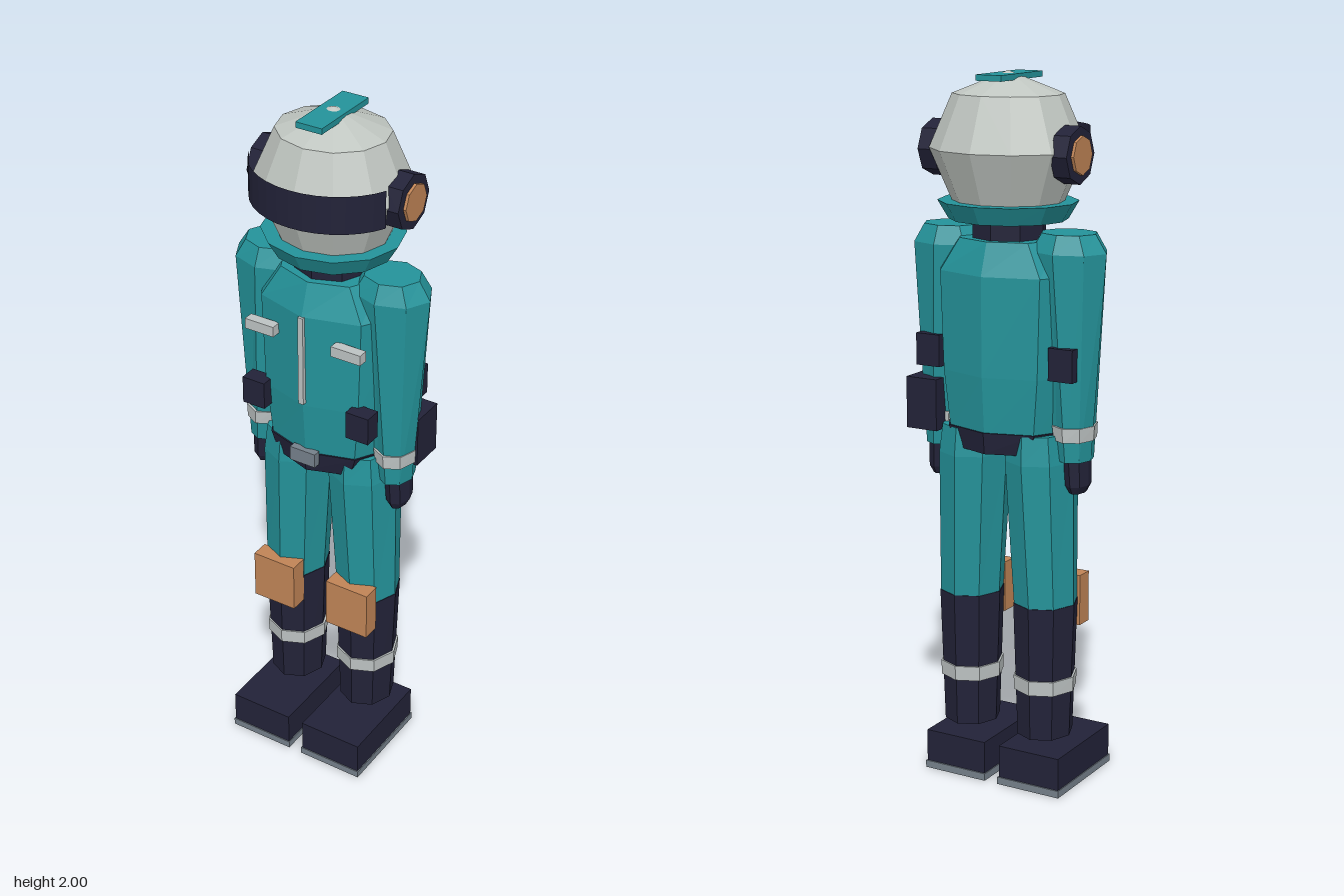
import * as THREE from 'three';

const paint = (name, hex) => {
  const m = new THREE.MeshStandardMaterial({ color: hex });
  m.name = name;
  return m;
};

// Faceted body from elliptical rings, listed bottom to top as [y, centreX, rx, rz]
function loft(rings, sides = 8, cz = 0) {
  const pos = [], idx = [], n = rings.length;
  for (const [y, cx, rx, rz] of rings)
    for (let i = 0; i < sides; i++) {
      const a = (i / sides) * Math.PI * 2;
      pos.push(cx + rx * Math.sin(a), y, cz + rz * Math.cos(a));
    }
  pos.push(rings[0][1], rings[0][0], cz, rings[n - 1][1], rings[n - 1][0], cz);
  const bottom = n * sides, top = bottom + 1;
  for (let i = 0; i < sides; i++) {
    const j = (i + 1) % sides, last = (n - 1) * sides;
    for (let r = 0; r < n - 1; r++) {
      const b = r * sides, t = b + sides;
      idx.push(b + i, b + j, t + j, b + i, t + j, t + i);
    }
    idx.push(bottom, j, i, top, last + i, last + j);
  }
  const g = new THREE.BufferGeometry();
  g.setAttribute('position', new THREE.Float32BufferAttribute(pos, 3));
  g.setIndex(idx);
  return faceted(g);
}

function faceted(g) {
  const f = g.toNonIndexed();
  f.computeVertexNormals();
  return f;
}

// Box given by its limits on each axis
function box(x0, x1, y0, y1, z0, z1) {
  return new THREE.BoxGeometry(x1 - x0, y1 - y0, z1 - z0)
    .translate((x0 + x1) / 2, (y0 + y1) / 2, (z0 + z1) / 2);
}

export function createModel() {
  const teal = paint('teal suit', 0x24939a);
  const navy = paint('dark navy', 0x222238);
  const shell = paint('helmet grey', 0xc0c6c1);
  const silver = paint('reflective silver', 0xbcc2c2);
  const copper = paint('copper', 0xc08456);
  const steel = paint('steel grey', 0x75808a);
  const visorMat = paint('visor navy', 0x222238);
  visorMat.side = THREE.DoubleSide;

  const model = new THREE.Group();
  model.name = 'suitedFigure';
  const add = (name, geometry, material, parent = model) => {
    const m = new THREE.Mesh(geometry, material);
    m.name = name;
    parent.add(m);
    return m;
  };

  // Torso, belt and neck
  add('torso', loft([
    [1.02, 0, 0.185, 0.135], [1.19, 0, 0.208, 0.147],
    [1.465, 0, 0.22, 0.15], [1.555, 0, 0.15, 0.12],
  ]), teal);
  add('belt', loft([[0.975, 0, 0.165, 0.135], [1.035, 0, 0.192, 0.141]]), navy);
  add('buckle', box(-0.04, 0.04, 1.005, 1.047, 0.13, 0.152), steel);
  add('zipper', box(-0.008, 0.008, 1.2, 1.465, 0.14, 0.157), silver);
  add('neck', loft([[1.54, 0, 0.105, 0.1], [1.63, 0, 0.105, 0.1]]), navy);
  add('collar', loft([[1.605, 0, 0.165, 0.155], [1.655, 0, 0.195, 0.183]], 12, -0.005), teal);

  // Helmet
  const helmet = faceted(new THREE.SphereGeometry(1, 12, 4).scale(0.218, 0.205, 0.2));
  add('helmet', helmet.translate(0, 1.795, -0.005), shell);
  add('crest', box(-0.039, 0.039, 1.977, 1.993, -0.11, 0.11), teal);
  const visor = new THREE.CylinderGeometry(1, 1, 0.105, 14, 1, true, -1.19, 2.38);
  visor.scale(0.222, 1, 0.203).translate(0, 1.802, 0);
  add('visor', faceted(visor), visorMat);

  // Paired parts, s = 1 on the model's left
  for (const s of [1, -1]) {
    const side = new THREE.Group();
    side.name = s > 0 ? 'leftSide' : 'rightSide';
    model.add(side);
    const put = (name, geometry, material) => add(name, geometry, material, side);
    const slab = (x0, x1, ...rest) => s > 0 ? box(x0, x1, ...rest) : box(-x1, -x0, ...rest);
    const limb = (rings, cz = 0) => loft(rings.map(([y, x, rx, rz]) => [y, s * x, rx, rz]), 8, cz);
    const disc = (r, x0, x1) => faceted(new THREE.CylinderGeometry(r, r, x1 - x0, 8))
      .rotateZ(Math.PI / 2).translate(s * (x0 + x1) / 2, 1.788, -0.022);

    // Earpiece
    put('earCup', disc(0.077, 0.18, 0.229), navy);
    put('earDisc', disc(0.052, 0.21, 0.237), copper);

    // Arm
    put('arm', limb([
      [0.96, 0.21, 0.047, 0.062], [1.53, 0.185, 0.113, 0.092], [1.58, 0.185, 0.08, 0.07],
    ]), teal);
    put('cuffBand', limb([[1.018, 0.209, 0.056, 0.072], [1.058, 0.207, 0.06, 0.074]]), silver);
    put('glove', limb([
      [0.868, 0.219, 0.02, 0.036], [0.89, 0.219, 0.032, 0.048], [0.965, 0.216, 0.034, 0.052],
    ]), navy);
    put('elbowPad', slab(0.172, 0.246, 1.19, 1.28, -0.09, -0.062), navy);

    // Chest details
    put('chestStripe', slab(0.09, 0.18, 1.375, 1.405, 0.12, 0.15), silver);
    put('frontPouch', slab(0.13, 0.2, 1.13, 1.21, 0.09, 0.14), navy);

    // Leg and boot
    put('leg', limb([
      [0.54, 0.12, 0.089, 0.096], [0.95, 0.106, 0.099, 0.115], [1.03, 0.104, 0.09, 0.108],
    ], -0.004), teal);
    put('kneePad', slab(0.055, 0.19, 0.455, 0.602, 0.068, 0.12), copper);
    put('bootShaft', limb([[0.15, 0.12, 0.078, 0.086], [0.54, 0.12, 0.091, 0.098]], -0.004), navy);
    put('bootBand', limb([[0.285, 0.12, 0.089, 0.095], [0.327, 0.12, 0.09, 0.096]], -0.004), silver);
    put('shoe', slab(0.024, 0.216, 0.02, 0.115, -0.1, 0.203), navy);
    put('sole', slab(0.021, 0.219, 0, 0.021, -0.104, 0.206), steel);
  }

  // Hip pouch on one side only
  add('hipPouch', box(0.175, 0.272, 1.01, 1.156, -0.102, 0), navy);

  return model;
}
